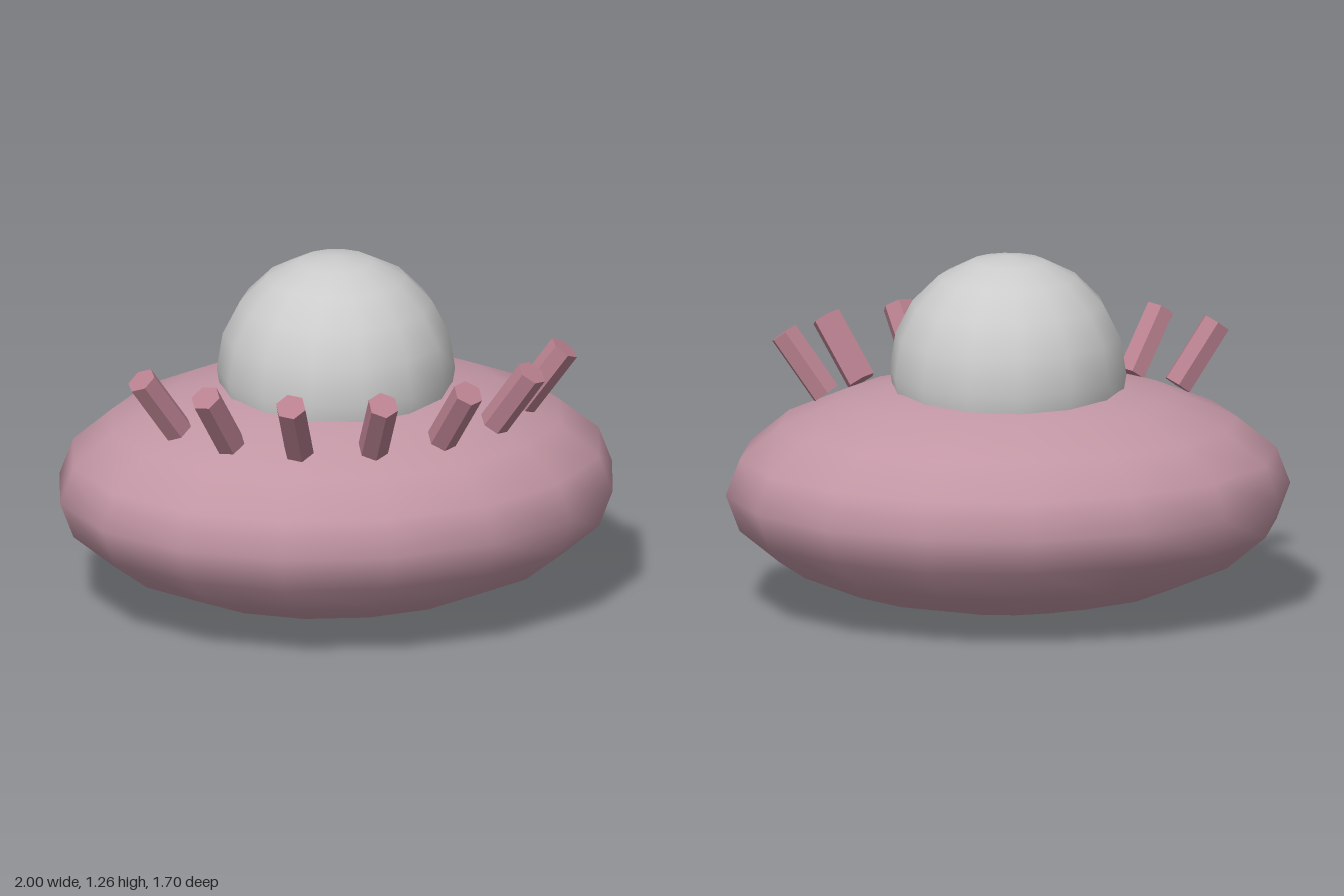
import * as THREE from 'three';

export function createModel() {
  const group = new THREE.Group();
  const bodyMaterial = new THREE.MeshStandardMaterial({ color: 0xc296a4 });
  const domeMaterial = new THREE.MeshStandardMaterial({ color: 0xcccccc });
  const pegMaterial = new THREE.MeshStandardMaterial({ color: 0xb8808f, flatShading: true });

  // Flattened oval body
  const body = new THREE.Mesh(new THREE.SphereGeometry(1, 16, 10), bodyMaterial);
  body.name = 'body';
  body.scale.set(1, 0.418, 0.85);
  body.position.y = 0.425;
  group.add(body);

  // Round dome sunk into the top of the body
  const dome = new THREE.Mesh(new THREE.SphereGeometry(0.42, 14, 10), domeMaterial);
  dome.name = 'dome';
  dome.rotation.y = Math.PI / 2;
  dome.position.y = 0.85;
  group.add(dome);

  // Fan of seven hexagonal pegs along the front, leaning outwards
  const pegs = new THREE.Group();
  pegs.name = 'pegs';
  const pegGeometry = new THREE.CylinderGeometry(0.055, 0.055, 0.26, 6);
  const lean = 0.63;
  for (let i = -3; i <= 3; i++) {
    const angle = i * 0.4;
    const peg = new THREE.Mesh(pegGeometry, pegMaterial);
    peg.name = `peg${i + 4}`;
    peg.position.set(0.745 * Math.sin(angle), 0.845, 0.643 * Math.cos(angle));
    peg.rotation.set(lean * Math.cos(angle), 0, -lean * Math.sin(angle));
    pegs.add(peg);
  }
  group.add(pegs);

  return group;
}
